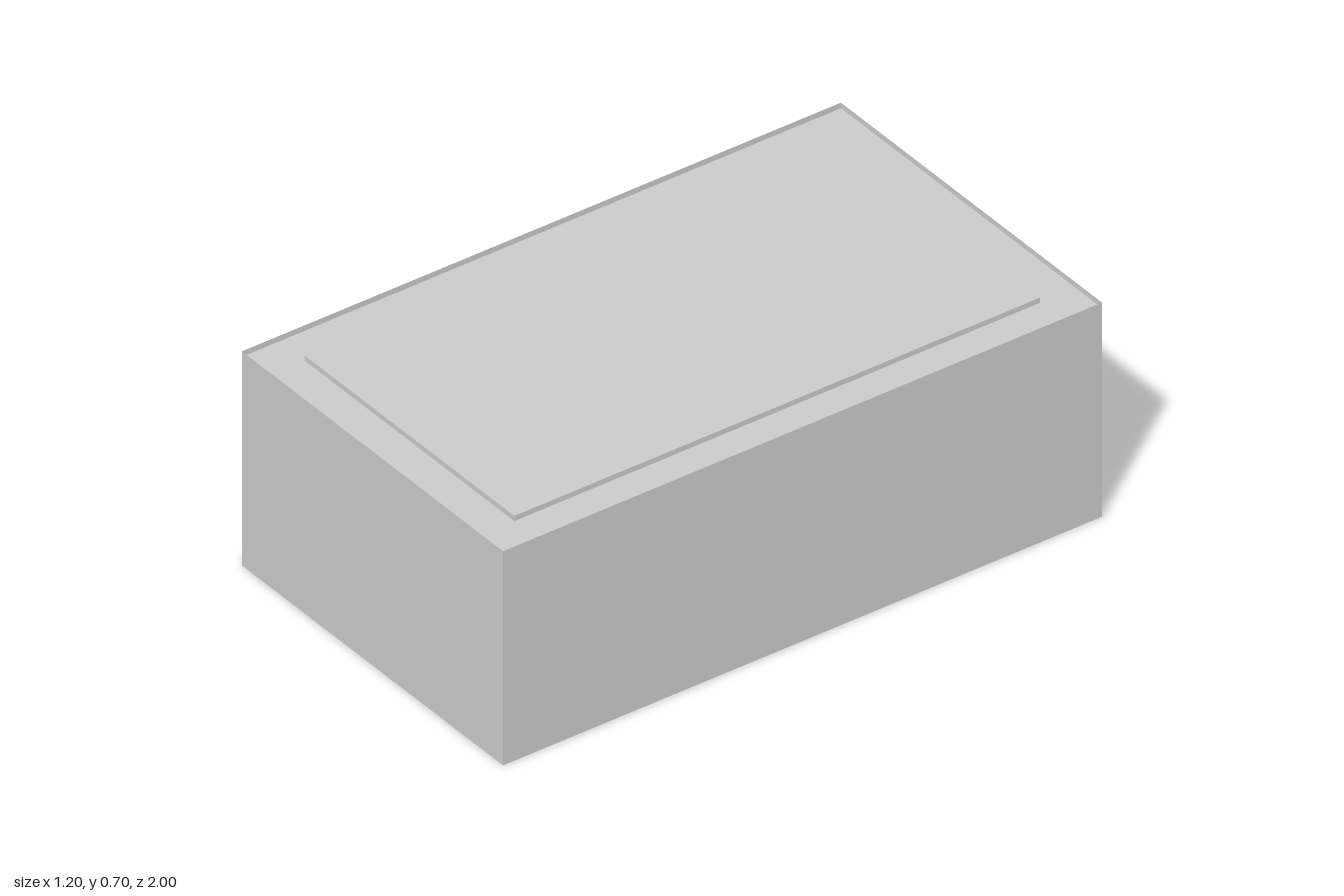
import * as THREE from 'three';

const X0 = -0.582, X1 = 0.602, Z = 1, H = 0.697, ROOF = 0.679;

export function createModel() {
  const model = new THREE.Group();
  const mat = new THREE.MeshStandardMaterial({ color: 0xcccccc });
  const thin = new THREE.MeshStandardMaterial({ color: 0xcccccc, side: THREE.DoubleSide });

  const box = (name, x0, x1, y0, y1, z0, z1) => {
    const mesh = new THREE.Mesh(new THREE.BoxGeometry(x1 - x0, y1 - y0, z1 - z0), mat);
    mesh.position.set((x0 + x1) / 2, (y0 + y1) / 2, (z0 + z1) / 2);
    mesh.name = name;
    model.add(mesh);
  };
  const sheet = (name, w, h, pos, rx, ry) => {
    const mesh = new THREE.Mesh(new THREE.PlaneGeometry(w, h), thin);
    mesh.position.set(...pos);
    mesh.rotation.set(rx, ry, 0);
    mesh.name = name;
    model.add(mesh);
  };

  // Paper-thin walls, rising past the roof as a low parapet
  const w = X1 - X0, cx = (X0 + X1) / 2;
  sheet('frontWall', w, H, [cx, H / 2, Z], 0, 0);
  sheet('backWall', w, H, [cx, H / 2, -Z], 0, Math.PI);
  sheet('leftWall', 2 * Z, H, [X1, H / 2, 0], 0, Math.PI / 2);
  sheet('rightWall', 2 * Z, H, [X0, H / 2, 0], 0, -Math.PI / 2);

  // Sunken roof and floor
  sheet('roof', w, 2 * Z, [cx, ROOF, 0], -Math.PI / 2, 0);
  sheet('floor', w, 2 * Z, [cx, 0, 0], Math.PI / 2, 0);

  // Raised roof panel, level with the parapet
  box('roofPanel', -0.467, 0.483, ROOF, H - 0.001, -0.88, 0.875);

  // Side door standing proud of the right wall
  box('sideDoor', -0.602, X0, 0, 0.25, 0.68, 0.93);

  return model;
}
